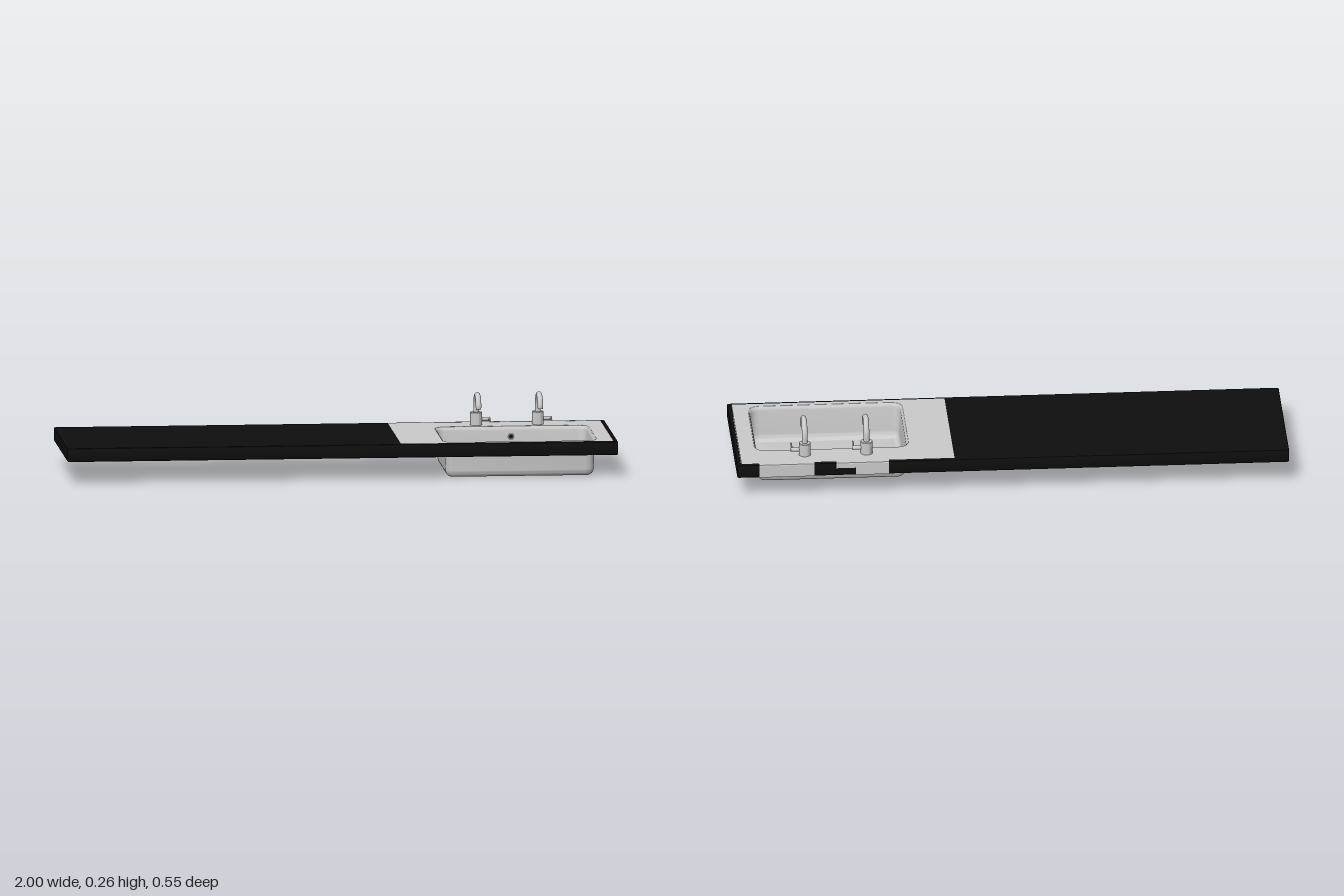
import * as THREE from 'three';
import { toCreasedNormals } from 'three/addons/utils/BufferGeometryUtils.js';

const black = new THREE.MeshStandardMaterial({ name: 'black worktop', color: 0x0e0e0e, side: THREE.DoubleSide });
const steel = new THREE.MeshStandardMaterial({ name: 'light grey steel', color: 0xcacaca, side: THREE.DoubleSide });

const TOP = 0.131;
const BASIN = { cx: 0.648, cz: 0.045, hx: 0.273, hz: 0.187, r: 0.035 };

function add(parent, name, geometry, material, x = 0, y = 0, z = 0) {
  const mesh = new THREE.Mesh(geometry, material);
  mesh.name = name;
  mesh.position.set(x, y, z);
  parent.add(mesh);
  return mesh;
}

// Closed loop of [x, z] points round a rounded rectangle
function roundRect({ cx, cz, hx, hz, r }, inset = 0, steps = 8) {
  const w = Math.max(hx - inset, 0.001), d = Math.max(hz - inset, 0.001);
  const rad = Math.min(Math.max(r - inset, 0.001), w, d);
  const points = [];
  [[1, 1], [-1, 1], [-1, -1], [1, -1]].forEach(([sx, sz], k) => {
    for (let s = 0; s <= steps; s++) {
      const a = (k + s / steps) * Math.PI / 2;
      points.push([cx + sx * (w - rad) + rad * Math.cos(a), cz + sz * (d - rad) + rad * Math.sin(a)]);
    }
  });
  return points;
}

// Skin through rounded rectangles, one per [inset, y] pair of the profile
function loft(rect, profile, steps, crease) {
  const positions = [], index = [];
  let n = 0;
  profile.forEach(([inset, y]) => {
    const loop = roundRect(rect, inset, steps);
    n = loop.length;
    loop.forEach(([x, z]) => positions.push(x, y, z));
  });
  for (let i = 0; i < profile.length - 1; i++) {
    for (let j = 0; j < n; j++) {
      const k = (j + 1) % n;
      const a = i * n + j, b = a + n, c = (i + 1) * n + k, d = i * n + k;
      index.push(a, b, c, a, c, d);
    }
  }
  const geometry = new THREE.BufferGeometry();
  geometry.setAttribute('position', new THREE.Float32BufferAttribute(positions, 3));
  geometry.setIndex(index);
  return toCreasedNormals(geometry, crease);
}

// Thin sheet lying at worktop height, with an optional hole
function sheet(x0, x1, z0, z1, hole) {
  const shape = new THREE.Shape([[x0, -z0], [x0, -z1], [x1, -z1], [x1, -z0]].map(p => new THREE.Vector2(...p)));
  if (hole) shape.holes.push(new THREE.Path(hole.map(([x, z]) => new THREE.Vector2(x, -z))));
  const geometry = new THREE.ExtrudeGeometry(shape, { depth: 0.007, bevelEnabled: false });
  return geometry.rotateX(-Math.PI / 2).translate(0, TOP - 0.007, 0);
}

// Steel facing folded over the back edge of the worktop
function backFacing(x0, x1, bottom) {
  const shape = new THREE.Shape([
    [0.258, 0.1315], [0.269, 0.1315], [0.2725, 0.13], [0.2738, 0.126],
    [0.2738, bottom], [0.268, bottom], [0.268, 0.126], [0.258, 0.126],
  ].map(p => new THREE.Vector2(...p)));
  const geometry = new THREE.ExtrudeGeometry(shape, { depth: x1 - x0, bevelEnabled: false });
  return geometry.rotateY(Math.PI / 2).translate(x0, 0, 0);
}

function tube(points, radius, segments = 40) {
  const curve = new THREE.CatmullRomCurve3(points.map(p => new THREE.Vector3(...p)));
  return new THREE.TubeGeometry(curve, segments, radius, 16);
}

// Tap with a swan neck and a side lever, standing on its own origin
function createTap() {
  const tap = new THREE.Group();
  tap.name = 'tap';
  const body = [[0, 0], [0.0215, 0], [0.0215, 0.0455], [0.02, 0.047], [0.011, 0.047], [0, 0.047]];
  add(tap, 'tapBody', toCreasedNormals(new THREE.LatheGeometry(body.map(p => new THREE.Vector2(...p)), 32), 0.6), steel);

  const neck = [[0, 0.04, 0], [0, 0.058, 0]];
  for (let i = 0; i <= 8; i++) {
    const a = i / 8 * 2.75;
    neck.push([0, 0.067 + 0.0485 * Math.sin(a), 0.05 - 0.05 * Math.cos(a)]);
  }
  neck.push([0, 0.076, 0.0985]);
  add(tap, 'tapNeck', tube(neck, 0.0102), steel);
  const nozzle = add(tap, 'tapNozzle', new THREE.CylinderGeometry(0.0105, 0.009, 0.011, 24), steel, 0, 0.0745, 0.0985);
  nozzle.rotation.x = -0.15;

  // Lever: a stub to the left and a rod pointing forward
  const stub = add(tap, 'leverStub', new THREE.CylinderGeometry(0.0075, 0.0075, 0.034, 20), steel, 0.034, 0.021, 0);
  stub.rotation.z = Math.PI / 2;
  const rod = add(tap, 'leverRod', new THREE.CapsuleGeometry(0.0028, 0.054, 4, 12), steel, 0.046, 0.021, 0.027);
  rod.rotation.x = Math.PI / 2;
  return tap;
}

export function createModel() {
  const model = new THREE.Group();
  model.name = 'worktopWithSink';

  // Worktop: hollow underneath, with a rounded skirt all round
  add(model, 'worktopSkirt', loft({ cx: 0, cz: 0, hx: 1, hz: 0.273, r: 0.006 }, [
    [0.014, 0.124], [0.014, 0.081], [0.005, 0.081], [0.0015, 0.0825], [0, 0.086],
    [0, 0.125], [0.0015, 0.129], [0.006, TOP], [0.0141, TOP],
  ], 3, 0.7), black);
  add(model, 'worktopTop', sheet(-0.986, 0.212, -0.259, 0.259), black);

  // Steel deck round the basin and its facings at the back
  add(model, 'sinkDeck', sheet(0.212, 0.984, -0.259, 0.261, roundRect(BASIN, -0.007)), steel);
  [[0.72, 0.92, 0.082], [0.45, 0.57, 0.082], [0.57, 0.64, 0.11]].forEach(([x0, x1, bottom]) =>
    add(model, 'backFacing', backFacing(x0, x1, bottom), steel));

  // Basin: flat floor, filleted walls and a rolled rim
  const profile = [[0.187, 0.001], [0.03, 0.001]];
  for (let i = 0; i <= 6; i++) {
    const a = i / 6 * Math.PI / 2;
    profile.push([0.027 - 0.023 * Math.sin(a), 0.024 - 0.024 * Math.cos(a)]);
  }
  profile.push([0.001, 0.115], [-0.001, 0.124], [-0.0035, 0.129], [-0.0075, TOP]);
  add(model, 'basin', loft(BASIN, profile, 8, 1), steel);

  // Overflow: ring on the back wall and a pipe bending down behind it
  add(model, 'overflowRing', new THREE.TorusGeometry(0.009, 0.0025, 10, 24), steel, BASIN.cx, 0.094, -0.138);
  add(model, 'overflowHole', new THREE.CircleGeometry(0.008, 24), black, BASIN.cx, 0.094, -0.1375);
  add(model, 'overflowPipe', tube([
    [BASIN.cx, 0.094, -0.14], [BASIN.cx, 0.094, -0.175], [BASIN.cx, 0.088, -0.193],
    [BASIN.cx, 0.074, -0.199], [BASIN.cx, 0.057, -0.201],
  ], 0.0095), steel);

  // Pair of taps
  [0.526, 0.75].forEach(x => {
    const tap = createTap();
    tap.position.set(x, TOP, -0.191);
    model.add(tap);
  });
  return model;
}
